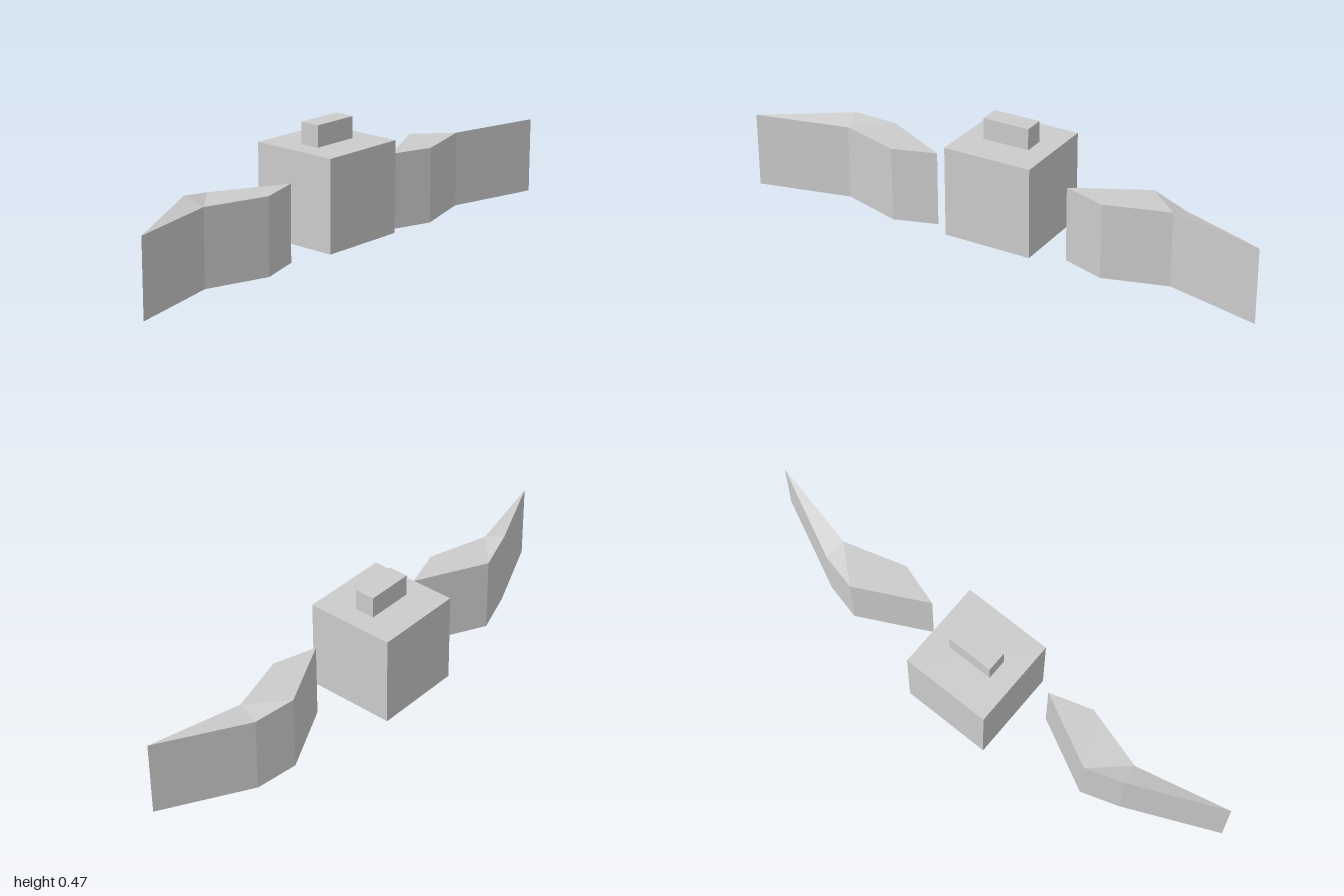
import * as THREE from 'three';

const material = new THREE.MeshStandardMaterial({ color: 0xcccccc, flatShading: true });

function box(name, w, h, d, y) {
  const mesh = new THREE.Mesh(new THREE.BoxGeometry(w, h, d), material);
  mesh.name = name;
  mesh.position.y = y + h / 2;
  return mesh;
}

// Bent panel: a six-cornered plan [x, z, lift] raised to a constant height
function panelGeometry(height) {
  const plan = [
    [0.26, 0.072, 0],       // inner tip
    [0.42, 0.122, 0],       // front bulge
    [0.652, 0.053, 0],      // front notch
    [1.0, 0.134, 0],        // outer tip
    [0.666, -0.024, -0.026], // sagging back corner
    [0.523, -0.063, 0],     // back peak
  ];
  const caps = [[0, 1, 5], [1, 2, 5], [2, 4, 5], [2, 3, 4]];
  const at = (i, side) => [plan[i][0], plan[i][2] + side * height / 2, plan[i][1]];
  const positions = [];
  const triangle = (a, b, c) => positions.push(...a, ...b, ...c);

  for (const [a, b, c] of caps) {
    triangle(at(a, 1), at(b, 1), at(c, 1));
    triangle(at(a, -1), at(c, -1), at(b, -1));
  }
  for (let i = 0; i < plan.length; i++) {
    const j = (i + 1) % plan.length;
    triangle(at(i, -1), at(j, -1), at(j, 1));
    triangle(at(i, -1), at(j, 1), at(i, 1));
  }
  const geometry = new THREE.BufferGeometry();
  geometry.setAttribute('position', new THREE.Float32BufferAttribute(positions, 3));
  geometry.computeVertexNormals();
  return geometry;
}

export function createModel() {
  const group = new THREE.Group();
  group.name = 'wingedBox';

  // Central block with a small cap
  group.add(box('body', 0.337, 0.337, 0.337, 0.054));
  group.add(box('topBlock', 0.178, 0.079, 0.077, 0.391));

  // Floating side panels; the right one is the left one turned half round
  const geometry = panelGeometry(0.28);
  for (const [name, turn] of [['leftPanel', 0], ['rightPanel', Math.PI]]) {
    const panel = new THREE.Mesh(geometry, material);
    panel.name = name;
    panel.position.y = 0.166;
    panel.rotation.z = turn;
    group.add(panel);
  }
  return group;
}
